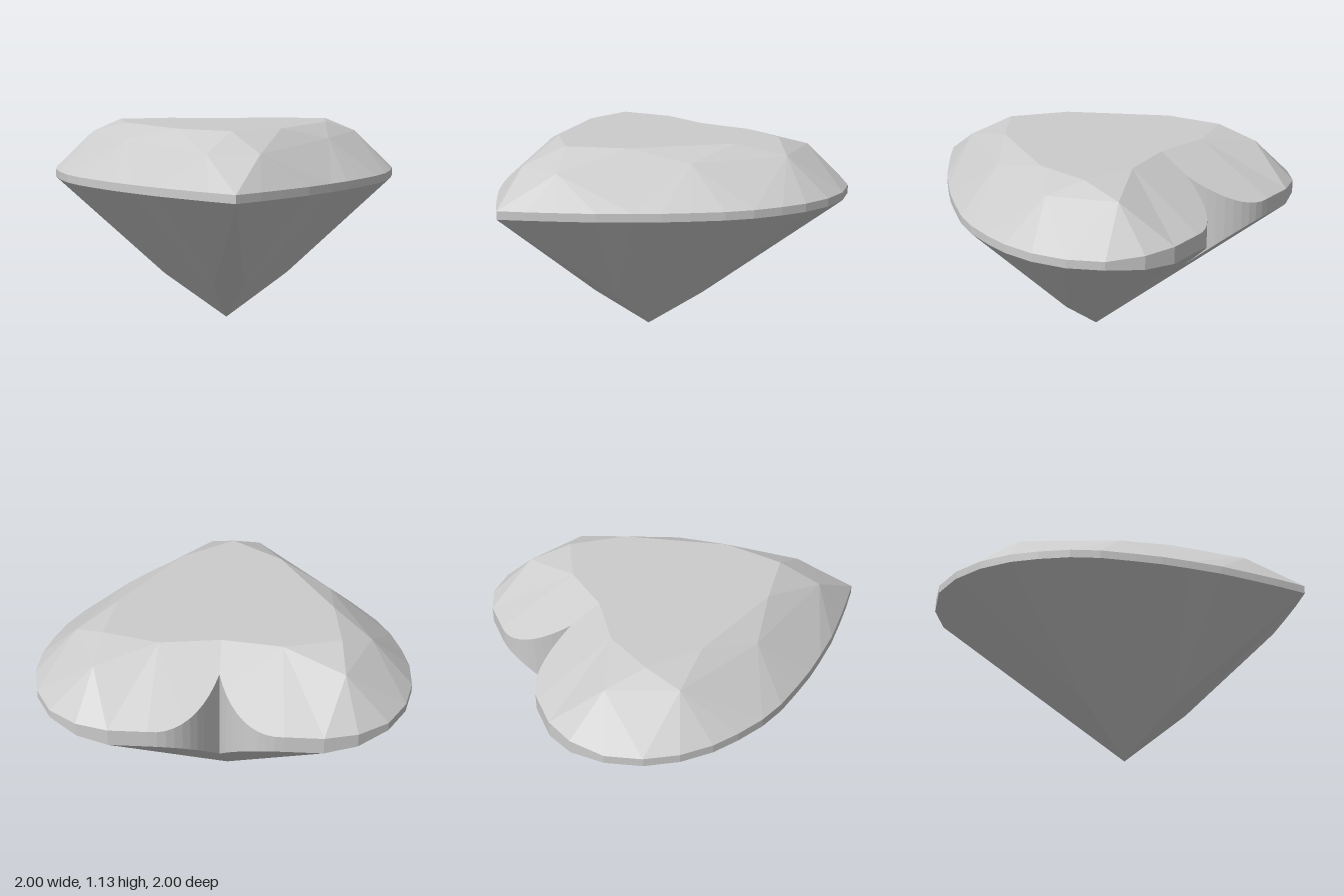
import * as THREE from 'three';

const V = (x, y, z) => new THREE.Vector3(x, y, z);

// Mesh from the triangles of one half, mirrored across x = 0.
// up: +1 / -1 turns every facet to face up / down, 0 keeps the given order.
function facets(name, tris, up, material) {
  const pos = [];
  for (const [a, b, c] of tris) {
    const ny = b.clone().sub(a).cross(c.clone().sub(a)).y;
    const t = up * ny < 0 ? [a, c, b] : [a, b, c];
    for (const p of t) pos.push(p.x, p.y, p.z);
    for (const p of [t[0], t[2], t[1]]) pos.push(-p.x, p.y, p.z);
  }
  const geo = new THREE.BufferGeometry();
  geo.setAttribute('position', new THREE.Float32BufferAttribute(pos, 3));
  geo.computeVertexNormals(); // unshared corners keep every facet flat
  const mesh = new THREE.Mesh(geo, material);
  mesh.name = name;
  return mesh;
}

const fan = (apex, ring) => ring.slice(1).map((p, i) => [apex, ring[i], p]);

export function createModel() {
  const gem = new THREE.MeshStandardMaterial({ color: 0xcccccc });
  gem.name = 'silver gem';

  // Half of the heart outline, from the end of the notch round to the front tip
  const rim = [
    [0.34, -1], [0.54, -1], [0.71, -0.945], [0.865, -0.82], [0.96, -0.65], [1, -0.47],
    [0.995, -0.29], [0.96, -0.14], [0.905, 0.02], [0.83, 0.16], [0.72, 0.31], [0.63, 0.425],
    [0.53, 0.535], [0.4, 0.67], [0.25, 0.8], [0.13, 0.9], [0, 1],
  ];
  const rimTop = rim.map(([x, z], i) => V(x, i < 2 ? 0.875 : i === 2 ? 0.868 : 0.855, z));
  const rimLow = rim.map(([x, z], i) => V(x, i < 2 ? 0.785 : i === 2 ? 0.795 : 0.81, z));

  // Notch curve, cut straight through the sloping back facets
  const curve = new THREE.CubicBezierCurve(
    new THREE.Vector2(0, -0.7), new THREE.Vector2(0.06, -0.88),
    new THREE.Vector2(0.18, -1), new THREE.Vector2(0.34, -1),
  ).getPoints(10);
  const notchTop = curve.map((p) => V(p.x, 1.135 + 0.623 * (p.y + 0.535) + 0.088 * p.x, p.y));
  const notchLow = curve.map((p) => V(p.x, 0.872 * (-0.1 - p.y), p.y));
  rimTop[0] = notchTop[10];
  rimLow[0] = notchLow[10];

  // Table corners, crown facet corners and the rim span each of these fans out to
  const table = [[0, -0.535], [0.32, -0.58], [0.62, -0.5], [0.58, -0.18], [0.28, 0.33], [0, 0.53]]
    .map(([x, z]) => V(x, 1.135, z));
  const mids = [V(0.64, 1.075, -0.73), V(0.78, 1.07, -0.38), V(0.56, 1.065, 0.14), V(0.14, 1.03, 0.71)];
  const spans = [1, 4, 8, 12, 16];

  // Crown: star facets, kites and girdle facets
  const crown = [
    ...fan(table[1], [table[0], ...notchTop]),
    [table[1], rimTop[0], rimTop[1]],
    [table[1], rimTop[1], mids[0]],
  ];
  mids.forEach((m, i) => {
    crown.push([m, table[i + 1], table[i + 2]]);
    crown.push(...fan(m, rimTop.slice(spans[i], spans[i + 1] + 1)));
    const next = mids[i + 1] ?? V(0, m.y, m.z);
    crown.push([table[i + 2], m, next], [m, next, rimTop[spans[i + 1]]]);
  });

  // Pavilion: facets running down to the culet
  const culet = V(0, 0, -0.1), front = V(0.085, 0.25, 0.24), side = V(0.36, 0.25, -0.17);
  const pavilion = [
    ...fan(culet, notchLow),
    ...fan(culet, rimLow.slice(0, 3)),
    [culet, side, rimLow[2]],
    ...fan(side, rimLow.slice(2, 13)),
    [side, front, rimLow[12]],
    [culet, side, front],
    ...fan(front, rimLow.slice(12)),
    [culet, front, rimLow[16]],
  ];

  // Upright band between a lower and an upper line
  const band = (low, top) => low.slice(1).flatMap((p, i) => [
    [low[i], top[i], p], [top[i], top[i + 1], p],
  ]);

  const group = new THREE.Group();
  group.name = 'heartGem';
  group.add(
    facets('table', fan(V(0, 1.135, 0), table), 1, gem),
    facets('crown', crown, 1, gem),
    facets('girdle', band(rimLow, rimTop), 0, gem),
    facets('notchWall', band(notchLow, notchTop), 0, gem),
    facets('pavilion', pavilion, -1, gem),
  );
  return group;
}
